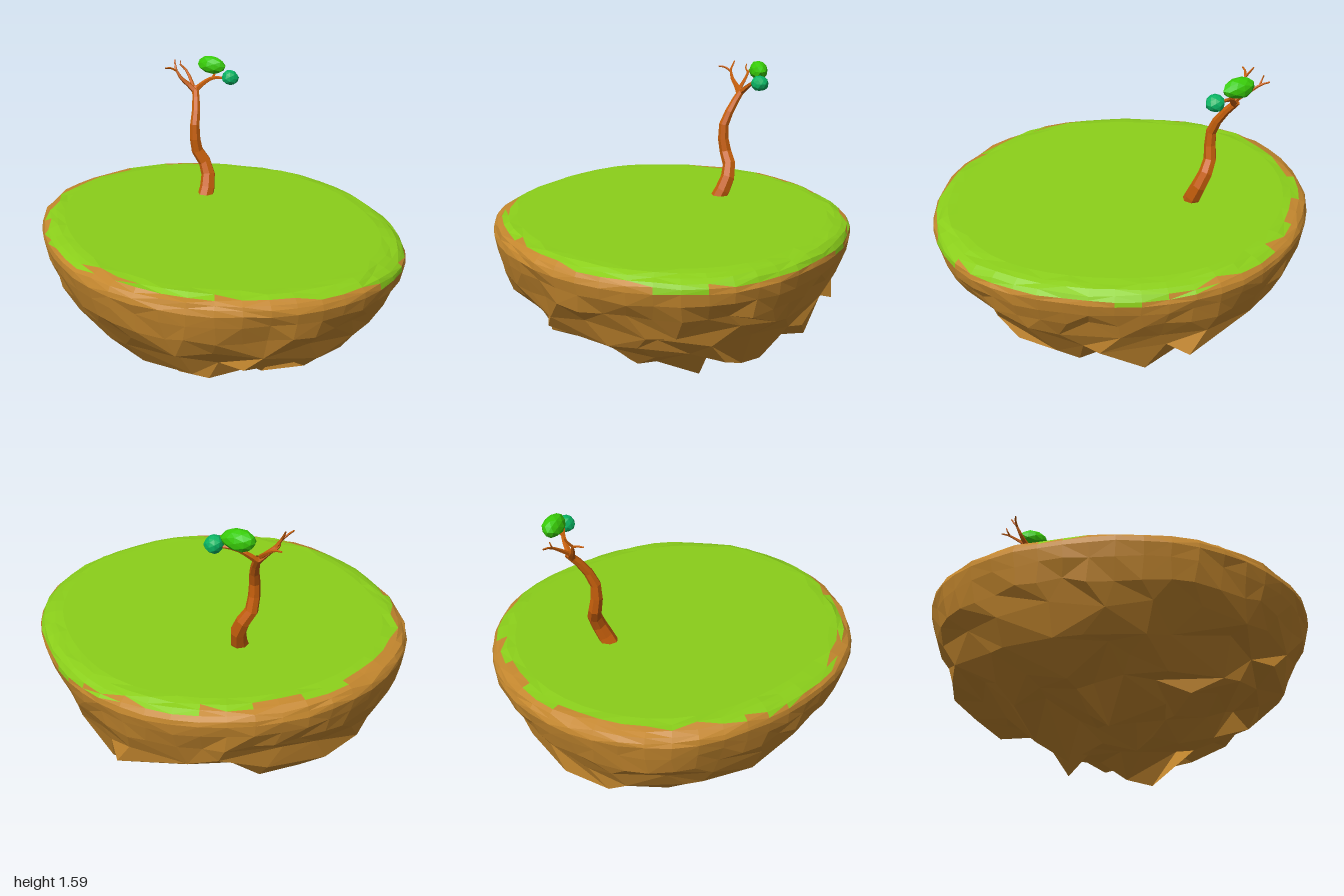
import * as THREE from 'three';

const mat = (color, side = THREE.FrontSide) =>
  new THREE.MeshStandardMaterial({ color, flatShading: true, roughness: 0.9, side });
const V = (x, y, z) => new THREE.Vector3(x, y, z);
const smooth = (e0, e1, v) => THREE.MathUtils.smoothstep(v, e0, e1);

// repeatable value in -1..1 for a pair of numbers
function hash(i, j) {
  const s = Math.sin(i * 127.1 + j * 311.7 + 17.3) * 43758.5453;
  return (s - Math.floor(s)) * 2 - 1;
}

function named(geometry, material, name) {
  const m = new THREE.Mesh(geometry, material);
  m.name = name;
  return m;
}

// floating island: rings of vertices from the grass centre down to the ragged underside
function createIsland() {
  const SEG = 48;
  const rows = [ // radius, height
    [0, 0.858], [0.45, 0.858], [0.87, 0.858], [0.915, 0.854], [0.95, 0.845], [0.978, 0.83], [0.993, 0.81],
    [1, 0.785], [0.985, 0.72], [0.95, 0.63], [0.905, 0.53], [0.835, 0.435], [0.73, 0.35],
    [0.6, 0.285], [0.46, 0.23], [0.31, 0.175], [0.16, 0.135], [0, 0.12],
  ];
  const rim = 7, last = rows.length - 1;
  const points = rows.map(([r, h], j) => Array.from({ length: SEG }, (_, n) => {
    // fewer, larger facets towards the middle of the underside
    const step = j <= rim + 2 ? 1 : r > 0.5 ? 2 : r > 0.25 ? 3 : 6;
    const i = n - n % step;
    const under = smooth(rim, rim + 5, j) * (j < last ? 1 : 0);
    const rough = j > 2 && j < last ? 1 : 0;
    // broad vertical ribs plus facets, both growing towards the underside
    const a = (i + under * 0.45 * step * hash(i + 7, j)) / SEG * Math.PI * 2;
    const rib = Math.sin(a * 7 + j * 0.5) * 0.5 + Math.sin(a * 11 - j * 0.8 + 2) * 0.5;
    const rad = r + under * (0.028 * rib + 0.04 * hash(i, j)) + rough * (j === rim ? 0 : 0.006 * hash(i, j + 40));
    // slightly flattened at the back right and front left
    const flat = 1 - 0.05 * Math.max(0, Math.cos(2 * (a + 0.9))) ** 2;
    const x = Math.cos(a) * rad * flat, z = Math.sin(a) * rad * flat * 0.945;
    const tilt = (-0.025 * x + 0.02 * z) * Math.min(1, h / 0.8);
    const y = h + tilt + under * (0.045 * hash(i + 90, j) + 0.02 * rib) + rough * (1 - under) * 0.005 * hash(i, j + 60);
    return V(x, j > rim ? Math.max(0.05, y) : y, z);
  }));
  // close the centre points of the top and the underside
  for (const j of [0, last]) points[j].forEach(p => p.copy(points[j][0]));

  // hanging rock tips: pull nearby underside points down, the nearest one to the exact tip
  const tips = [
    [0.23, 0, -0.13], [0.09, 0.02, -0.14], [-0.21, 0.02, -0.19], [-0.26, 0.05, -0.05], [0.02, 0.08, 0.16],
    [-0.2, 0.12, 0.34], [0.36, 0.14, 0.1], [0.48, 0.21, -0.42], [0.56, 0.22, -0.32], [-0.42, 0.15, -0.1],
    [-0.6, 0.24, 0.12], [-0.86, 0.4, -0.1], [0.1, 0.38, -0.85], [0.15, 0.19, -0.6], [0.25, 0.24, -0.68],
    [-0.1, 0.15, -0.34], [0.12, 0.25, 0.57], [-0.45, 0.28, 0.45], [-0.5, 0.27, -0.48], [0.8, 0.46, 0.1],
  ];
  const hanging = new Set();
  for (const [x, y, z] of tips) {
    let best = null, bestD = 9;
    for (let j = rim + 4; j < last; j++) for (const p of points[j]) {
      const d = Math.hypot(p.x - x, p.z - z);
      p.y = Math.min(p.y, y + 0.02 + d * 1.7);
      if (d < bestD && !hanging.has(p)) { bestD = d; best = p; }
    }
    // facets share merged corners, so move every copy
    const from = best.clone();
    for (const p of points.flat()) if (p.distanceTo(from) < 1e-6) { p.set(x, y, z); hanging.add(p); }
  }

  // sort each facet into grass or rock
  const soil = { grass: [], rock: [] };
  const addTriangle = (a, b, c, j) => {
    const area = V(0, 0, 0).crossVectors(b.clone().sub(a), c.clone().sub(a)).length();
    if (area < 1e-8) return;
    const m = a.clone().add(b).add(c).divideScalar(3);
    const angle = Math.atan2(m.z / 0.945, m.x);
    const edge = 0.948 + 0.032 * Math.cos(angle + 0.5) + 0.02 * hash(Math.round(angle * 7), 3);
    const onTop = j < 2 || (j < rim - 1 && Math.hypot(m.x, m.z / 0.945) < edge);
    const patch = j >= rim - 3 && j < rim && (Math.abs(angle) < 0.14 || Math.abs(angle + 1.1) < 0.08);
    soil[onTop || patch ? 'grass' : 'rock'].push(a, b, c);
  };
  for (let j = 0; j < last; j++) for (let i = 0; i < SEG; i++) {
    const k = (i + 1) % SEG;
    const a = points[j][i], b = points[j][k], c = points[j + 1][i], d = points[j + 1][k];
    if (hash(i, j + 20) > 0) { addTriangle(a, b, c, j); addTriangle(b, d, c, j); }
    else { addTriangle(a, b, d, j); addTriangle(a, d, c, j); }
  }
  const island = new THREE.Group();
  island.name = 'island';
  const colors = { grass: 0x8bcf1a, rock: 0xc4872e };
  for (const key of ['grass', 'rock']) {
    const g = new THREE.BufferGeometry().setFromPoints(soil[key]);
    g.computeVertexNormals();
    island.add(named(g, mat(colors[key], THREE.DoubleSide), key));
  }
  return island;
}

// tapered low-poly limb through a few points
function limb(path, r0, r1, sides, steps) {
  const curve = new THREE.CatmullRomCurve3(path.map(p => V(...p)));
  const g = new THREE.TubeGeometry(curve, steps, 1, sides);
  const pos = g.attributes.position, p = V(0, 0, 0);
  for (let n = 0; n < pos.count; n++) {
    const t = Math.floor(n / (sides + 1)) / steps;
    const c = curve.getPointAt(t);
    p.fromBufferAttribute(pos, n).sub(c).multiplyScalar(r0 + (r1 - r0) * t).add(c);
    pos.setXYZ(n, p.x, p.y, p.z);
  }
  g.computeVertexNormals();
  return g;
}

// faceted clump of leaves
function leaves(name, color, at, size) {
  const g = new THREE.IcosahedronGeometry(1, 1);
  const pos = g.attributes.position, p = V(0, 0, 0);
  for (let n = 0; n < pos.count; n++) {
    p.fromBufferAttribute(pos, n);
    const s = 1 + 0.06 * hash(Math.round(p.x * 50) + Math.round(p.y * 50) * 3, Math.round(p.z * 50));
    pos.setXYZ(n, p.x * s, p.y * s, p.z * s);
  }
  g.scale(...size);
  g.computeVertexNormals();
  const m = named(g, mat(color), name);
  m.position.set(...at);
  return m;
}

function createTree() {
  const tree = new THREE.Group();
  tree.name = 'tree';
  const bark = mat(0xc8600c, THREE.DoubleSide);
  tree.add(named(limb([[-0.268, 0.82, -0.25], [-0.275, 0.93, -0.305], [-0.305, 1.01, -0.325], [-0.35, 1.09, -0.305],
    [-0.355, 1.22, -0.29], [-0.375, 1.33, -0.335], [-0.425, 1.425, -0.4]], 0.046, 0.018, 7, 9), bark, 'trunk'));
  const branches = [ // path, start radius, end radius
    [[[-0.41, 1.4, -0.385], [-0.45, 1.44, -0.37], [-0.485, 1.475, -0.35], [-0.515, 1.525, -0.34]], 0.019, 0.006],
    [[[-0.51, 1.515, -0.342], [-0.53, 1.535, -0.31], [-0.54, 1.54, -0.275]], 0.007, 0.004],
    [[[-0.512, 1.52, -0.34], [-0.53, 1.55, -0.355], [-0.54, 1.57, -0.365]], 0.007, 0.004],
    [[[-0.43, 1.43, -0.385], [-0.48, 1.475, -0.42], [-0.53, 1.51, -0.445], [-0.57, 1.52, -0.46]], 0.012, 0.004],
    [[[-0.525, 1.505, -0.44], [-0.545, 1.53, -0.43], [-0.55, 1.55, -0.435]], 0.006, 0.003],
    [[[-0.415, 1.41, -0.39], [-0.385, 1.445, -0.42], [-0.34, 1.475, -0.45], [-0.25, 1.48, -0.475]], 0.017, 0.005],
    [[[-0.345, 1.47, -0.445], [-0.34, 1.495, -0.47], [-0.36, 1.53, -0.485]], 0.008, 0.005],
  ];
  for (const [path, r0, r1] of branches) tree.add(named(limb(path, r0, r1, 5, 6), bark, 'branch'));
  tree.add(leaves('largeLeaves', 0x38cc08, [-0.37, 1.54, -0.482], [0.087, 0.051, 0.05]));
  tree.add(leaves('smallLeaves', 0x08b463, [-0.24, 1.487, -0.475], [0.047, 0.043, 0.047]));
  return tree;
}

export function createModel() {
  const model = new THREE.Group();
  model.name = 'floatingIsland';
  model.add(createIsland(), createTree());
  return model;
}
